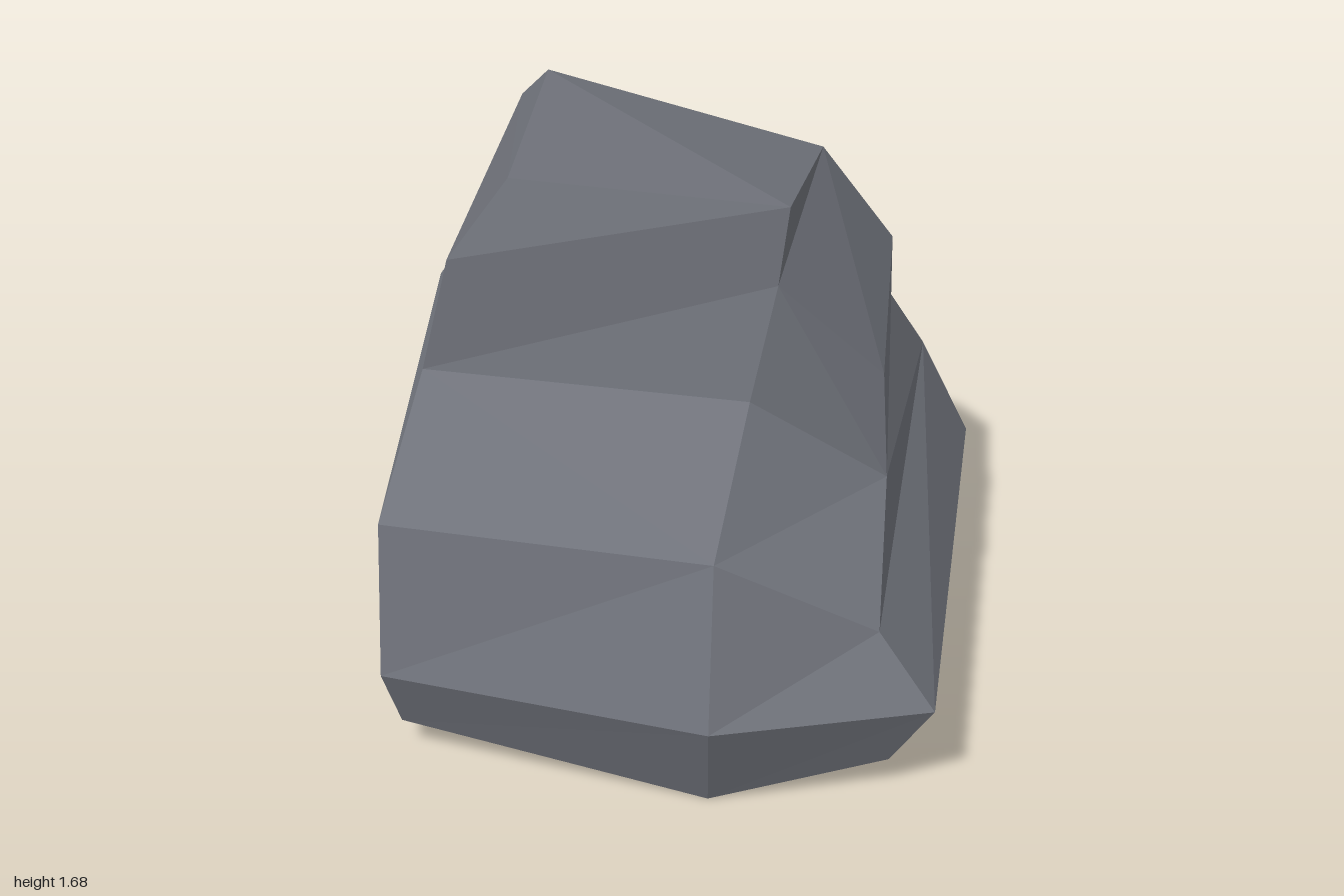
import * as THREE from 'three';

// Corner points of the rock, grouped by height
const P = {
  // underside rim
  g: [-0.71, 0.1, 0.7], h: [0.2, 0, 0.87], i: [0.71, 0.1, 0.77],
  j: [0.78, 0.1, -0.84], k: [0.2, 0, -0.84], l: [-0.86, 0.1, -0.84],
  // widest rim
  a: [-0.75, 0.3, 0.78], b: [0.21, 0.3, 1], c: [0.835, 0.3, 0.82],
  d: [0.915, 0.3, -0.9], e: [0.84, 0.3, -1], f: [-0.92, 0.3, -1],
  // lower shoulder
  N: [-0.75, 0.76, 0.71], O: [0.21, 0.76, 0.85], Q: [0.67, 0.5, 0.73],
  R: [0.76, 0.6, -0.93], U: [-0.84, 0.77, -0.95],
  // waist
  H: [-0.66, 1.105, 0.41], I: [0.28, 1.08, 0.48], V: [0.67, 0.78, 0.33],
  S: [0.64, 0.86, -0.77], L: [0.22, 1.1, -0.81], M: [-0.51, 1.24, -0.955],
  // upper shoulder
  E: [-0.58, 1.45, 0.41], F: [0.35, 1.41, 0.41], J: [0.65, 1.06, 0.23], K: [0.65, 1.1, -0.65],
  // crown
  A: [-0.41, 1.68, 0.35], B: [0.38, 1.65, 0.41], C: [0.43, 1.44, -0.54],
  D: [-0.43, 1.61, -0.67], G: [-0.53, 1.48, -0.79],
};

// Stitches two closed rings; each step moves on along the upper (u) or lower (l) ring
function stitch(lower, upper, steps) {
  const faces = [];
  let lo = 0, up = 0;
  for (const step of steps) {
    const u = upper[up % upper.length], w = lower[lo % lower.length];
    const next = step === 'u' ? upper[++up % upper.length] : lower[++lo % lower.length];
    if (u !== w && u !== next && w !== next) faces.push(u + w + next);
  }
  return faces;
}

// Closes a ring with triangles around its first point
function fan(ring) {
  const faces = [];
  for (let n = 1; n < ring.length - 1; n++) faces.push(ring[0] + ring[n] + ring[n + 1]);
  return faces;
}

export function createModel() {
  const stone = new THREE.MeshStandardMaterial({ color: 0x70737b, flatShading: true });
  stone.name = 'stone grey';

  const faces = [
    ...fan('kjihgl'),                                 // underside
    ...stitch('ghijkl', 'abcdef', 'ululluulluul'),    // undercut
    ...stitch('abcdef', 'NOQRLU', 'ululullluulu'),    // lower flanks
    ...stitch('NOQRLU', 'HIVSLM', 'luullulululu'),    // ledge and waist
    ...stitch('HIVSLM', 'EFJKLM', 'ulluulluullu'),    // upper flanks
    ...stitch('EFJKLM', 'ABCDG', 'ululllulul' + 'u'), // crown sides
    ...fan('DGABC'),                                  // crown
  ];

  const positions = faces.flatMap((face) => [...face].flatMap((name) => P[name]));
  const geometry = new THREE.BufferGeometry();
  geometry.setAttribute('position', new THREE.Float32BufferAttribute(positions, 3));
  geometry.computeVertexNormals();

  const rock = new THREE.Mesh(geometry, stone);
  rock.name = 'rock';
  const group = new THREE.Group();
  group.name = 'boulder';
  group.add(rock);
  return group;
}
